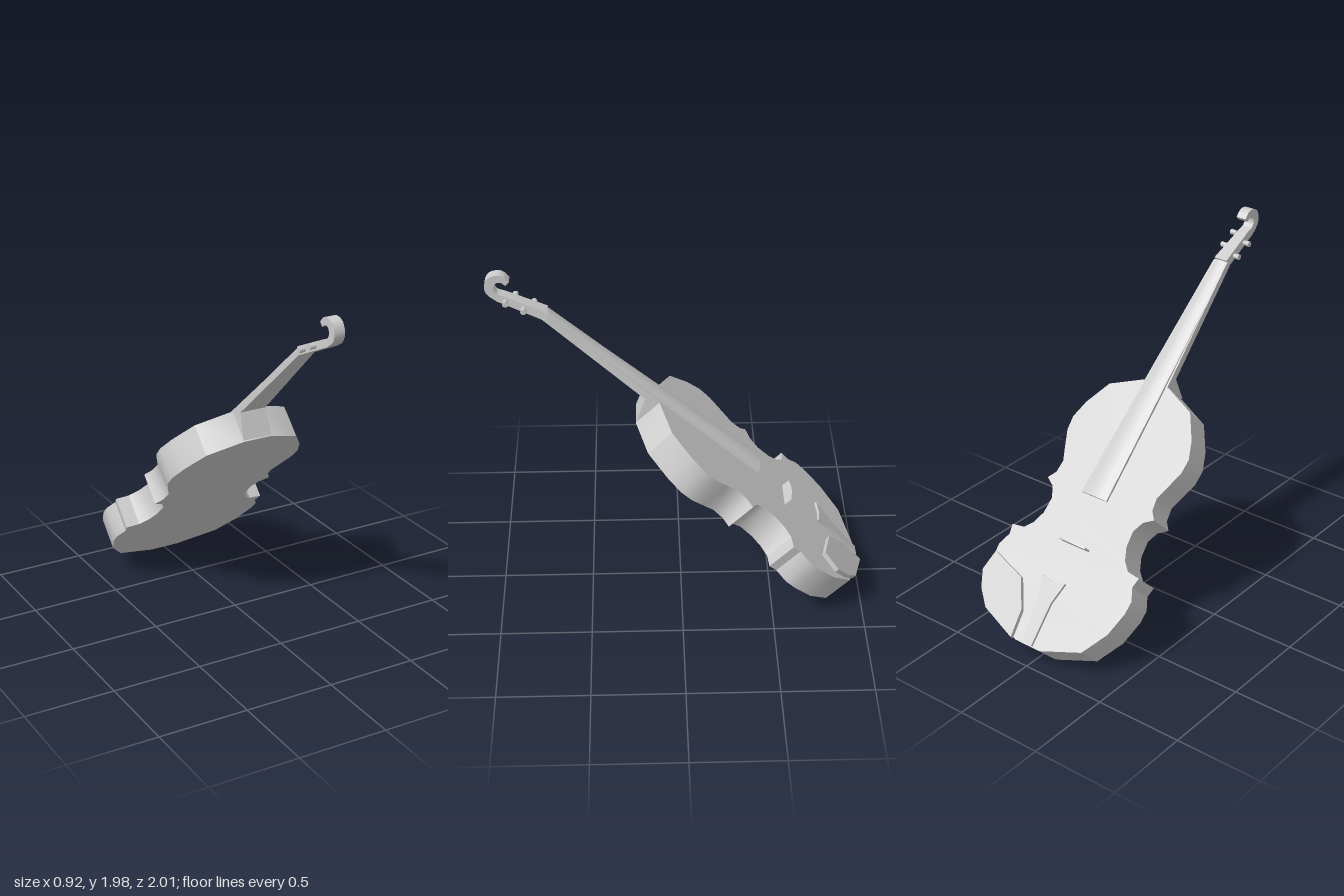
import * as THREE from 'three';
import { toCreasedNormals } from 'three/addons/utils/BufferGeometryUtils.js';

const material = new THREE.MeshStandardMaterial({ color: 0xcccccc, side: THREE.DoubleSide });

function mesh(name, geometry) {
  const m = new THREE.Mesh(geometry, material);
  m.name = name;
  return m;
}

const toShape = pts => new THREE.Shape(pts.map(p => new THREE.Vector2(...p)));

// extrude a shape, move each vertex by a rule, keep sharp edges sharp
function extrude(shape, depth, rule) {
  const geo = new THREE.ExtrudeGeometry(shape, { depth, bevelEnabled: false, curveSegments: 4 });
  const pos = geo.attributes.position, v = new THREE.Vector3();
  for (let i = 0; i < pos.count; i++) {
    rule(v.fromBufferAttribute(pos, i));
    pos.setXYZ(i, v.x, v.y, v.z);
  }
  geo.computeVertexNormals();
  return toCreasedNormals(geo, 0.55);
}

// plate lying over the body: outline in x/length, height rising along the length
const plate = (name, pts, thick, height = 0, slope = 0) =>
  mesh(name, extrude(toShape(pts), thick, v => { v.z += height + slope * v.y; }));

// side profile in z/y, spread across x to a half width that depends on y
const profile = (name, shape, halfWidth) =>
  mesh(name, extrude(shape, 2, v => v.set((1 - v.z) * halfWidth(v.y), v.y, v.x)));

const mirror = half => [...half, ...half.map(([x, y]) => [-x, y]).reverse()];

const ramp = (y, y0, y1, a, b) => THREE.MathUtils.mapLinear(THREE.MathUtils.clamp(y, y0, y1), y0, y1, a, b);

export function createModel() {
  const model = new THREE.Group();
  model.name = 'violin';

  // tilted frame: y runs along the body, z points out of the soundboard
  const tilted = new THREE.Group();
  tilted.name = 'tiltedBody';
  const r = Math.SQRT1_2;
  tilted.quaternion.setFromRotationMatrix(new THREE.Matrix4().makeBasis(
    new THREE.Vector3(-1, 0, 0), new THREE.Vector3(0, r, r), new THREE.Vector3(0, r, -r)));
  tilted.position.set(0, 0.002, -0.86);
  model.add(tilted);

  // body with waist and four corners
  tilted.add(plate('body', mirror([
    [0.085, 0], [0.32, 0.085], [0.415, 0.225], [0.455, 0.36], [0.458, 0.43], [0.425, 0.5],
    [0.437, 0.555], [0.36, 0.565], [0.315, 0.61], [0.285, 0.68], [0.28, 0.77], [0.31, 0.83],
    [0.365, 0.865], [0.33, 0.91], [0.322, 0.98], [0.355, 1.06], [0.39, 1.15], [0.395, 1.23],
    [0.36, 1.33], [0.275, 1.47], [0.085, 1.556]]), 0.18));

  // tailpiece and chin rest
  tilted.add(plate('tailpiece',
    mirror([[0.034, 0.005], [0.045, 0.25], [0.08, 0.37], [0.001, 0.355]]), 0.015, 0.182, 0.11));
  tilted.add(plate('chinRest', [
    [-0.095, 0], [-0.32, 0.085], [-0.395, 0.17], [-0.435, 0.265], [-0.4, 0.38],
    [-0.185, 0.31], [-0.1, 0.155]], 0.025, 0.19, 0.11));

  // bridge, upright with an arched top
  const bridgeShape = new THREE.Shape();
  bridgeShape.moveTo(-0.088, 0.175);
  bridgeShape.lineTo(0.088, 0.175);
  bridgeShape.lineTo(0.088, 0.23);
  bridgeShape.quadraticCurveTo(0, 0.256, -0.088, 0.23);
  tilted.add(mesh('bridge', extrude(bridgeShape, 0.01, v => v.set(v.x, 0.588 - v.z, v.y))));

  // fingerboard: arched section, tapering and sinking toward the nut
  const boardShape = new THREE.Shape();
  boardShape.moveTo(-1, 0);
  boardShape.lineTo(1, 0);
  boardShape.lineTo(1, 0.014);
  boardShape.quadraticCurveTo(0, 0.038, -1, 0.014);
  tilted.add(mesh('fingerboard', extrude(boardShape, 1, v => {
    const t = v.z; // 0 at the nut, 1 at the free end
    v.set(v.x * (0.045 + 0.04 * t), 2.335 - 1.48 * t, 0.126 + 0.1 * t + v.y);
  })));

  // neck and heel
  model.add(profile('neck', toShape([
    [0.24, 1.11], [0.11, 1.23], [0.685, 1.752], [0.71, 1.727], [0.19, 1.25]]),
  y => ramp(y, 1.11, 1.74, 0.085, 0.045)));

  // pegbox and curled scroll
  const scroll = new THREE.Shape();
  const vecs = pts => pts.map(p => new THREE.Vector2(...p));
  scroll.moveTo(0.71, 1.727);
  scroll.lineTo(0.94, 1.836);
  scroll.splineThru(vecs([[0.988, 1.875], [1, 1.92], [0.98, 1.967], [0.935, 1.984], [0.9, 1.975], [0.872, 1.945]]));
  scroll.lineTo(0.892, 1.925);
  scroll.splineThru(vecs([[0.918, 1.943], [0.943, 1.935], [0.952, 1.905], [0.935, 1.877], [0.9, 1.864]]));
  scroll.lineTo(0.685, 1.765);
  model.add(profile('scroll', scroll, y => ramp(y, 1.74, 1.87, 0.043, 0.03)));

  // tuning pegs, two on each side
  [[1, 0.895, 1.84], [1, 0.805, 1.795], [-1, 0.85, 1.818], [-1, 0.755, 1.772]].forEach(([side, z, y]) => {
    const peg = new THREE.Group();
    peg.name = side > 0 ? 'leftPeg' : 'rightPeg';
    const shaft = mesh('pegShaft', new THREE.CylinderGeometry(0.009, 0.009, 0.05, 10));
    shaft.position.y = 0.035;
    const head = mesh('pegHead', new THREE.CylinderGeometry(0.016, 0.014, 0.035, 10));
    head.position.y = 0.06;
    peg.add(shaft, head);
    peg.rotation.z = -side * Math.PI / 2;
    peg.position.set(0, y, z);
    model.add(peg);
  });

  return model;
}
